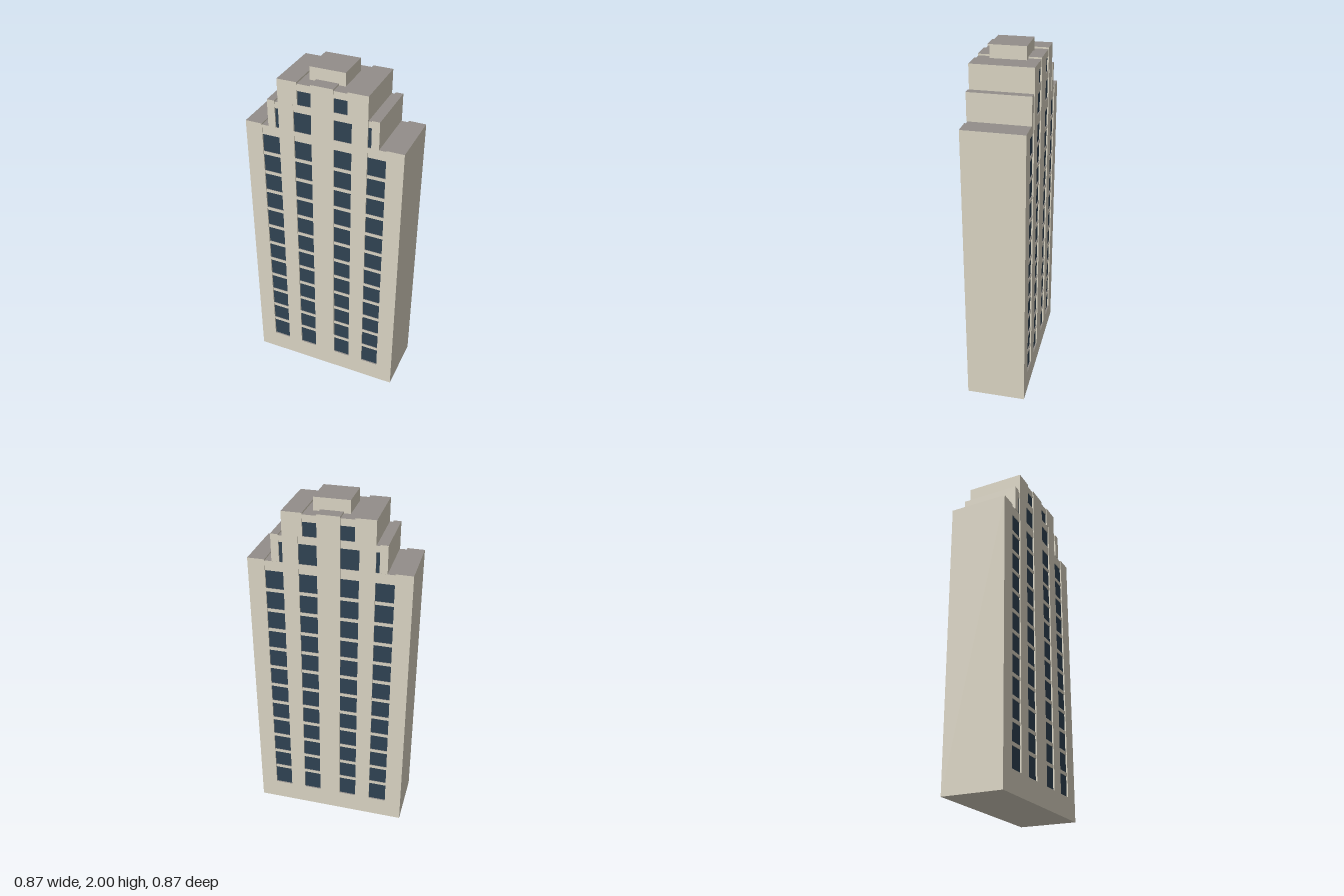
import * as THREE from 'three';

export function createModel() {
  const wall = new THREE.MeshStandardMaterial({ color: 0xd9d3c2 });
  wall.name = 'stone';
  const roof = new THREE.MeshStandardMaterial({ color: 0x938e8a });
  roof.name = 'roofGrey';
  const glass = new THREE.MeshStandardMaterial({ color: 0x2f4252 });
  glass.name = 'windowGlass';
  const stone = [wall, wall, roof, wall, wall, wall]; // grey on top faces only

  const D = 0.1695, spandrelD = 0.166, glassD = 0.161; // half depths
  const tower = new THREE.Group();
  tower.name = 'tower';

  // Box from x0..x1 and y0..y1, reaching d to the front and back
  function block(name, x0, x1, y0, y1, d, material = stone) {
    const mesh = new THREE.Mesh(new THREE.BoxGeometry(x1 - x0, y1 - y0, 2 * d), material);
    mesh.position.set((x0 + x1) / 2, (y0 + y1) / 2, 0);
    mesh.name = name;
    tower.add(mesh);
  }
  // The same block on both halves of the building
  function pair(name, x0, x1, ...rest) {
    block(name + 'Left', x0, x1, ...rest);
    block(name + 'Right', -x1, -x0, ...rest);
  }

  const T1 = 1.66, T2 = 1.81, T3 = 1.937; // tops of the tiers
  const sill = 0.122, pitch = 0.123, floors = 12;

  // Full depth piers, stepping down towards the ends
  block('centrePier', -0.062, 0.062, 0, T3, D);
  pair('innerPier', 0.162, 0.248, 0, T3, D);
  pair('upperPier', 0.138, 0.162, T2, T3, D);
  pair('shoulderPier', 0.268, 0.31, T1 - 0.005, T2, D);
  pair('endPier', 0.35, 0.4455, 0, T1, D);

  // Window columns: glass core crossed by a spandrel at each floor
  for (const [name, x0, x1] of [['inner', 0.062, 0.162], ['outer', 0.248, 0.35]]) {
    pair(name + 'Base', x0, x1, 0, sill, D);
    pair(name + 'Windows', x0, x1, sill, 1.62, glassD, glass);
    for (let i = 1; i < floors; i++) {
      const y = sill + i * pitch;
      pair(name + 'Spandrel', x0, x1, y - 0.003, y + 0.016, spandrelD);
    }
    pair(name + 'Band', x0, x1, 1.597, 1.653, spandrelD);
  }

  // Set-back floors above the main shaft
  pair('shoulderWindows', 0.248, 0.268, 1.653, 1.78, glassD, glass);
  pair('shoulderBand', 0.248, 0.268, 1.767, 1.803, spandrelD);
  pair('innerShoulderWindows', 0.062, 0.162, 1.653, 1.78, glassD, glass);
  pair('innerShoulderBand', 0.062, 0.162, 1.767, T2, spandrelD);
  pair('crownWindows', 0.062, 0.138, T2, 1.9, glassD, glass);
  pair('crownBand', 0.062, 0.138, 1.889, 1.928, spandrelD);

  // Rooftop plant room
  block('penthouse', -0.098, 0.098, 1.92, 2, 0.098);

  // The tower stands turned an eighth of a circle
  tower.rotation.y = -Math.PI / 4;
  const model = new THREE.Group();
  model.name = 'building';
  model.add(tower);
  return model;
}
